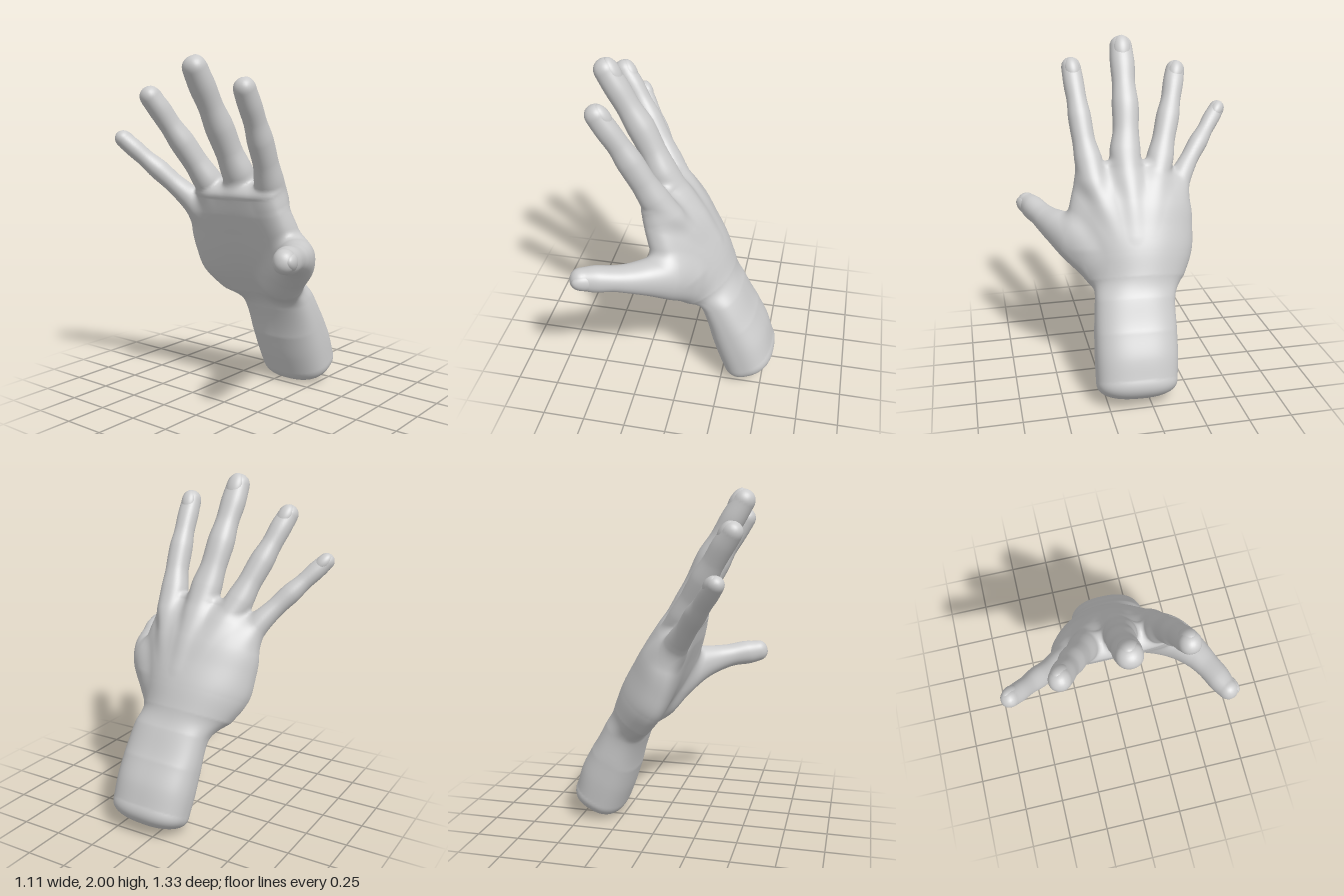
import * as THREE from 'three';

const material = new THREE.MeshStandardMaterial({ color: 0xcccccc });
const BACK = new THREE.Vector3(0.907, 0.42, 0); // direction the back of the hand faces
const BLEND = 0.05; // how softly parts flow into each other
const FAR = 0.15;

// Sections are [x, y, z, halfWidth, halfThickness, arch]
const palm = [
  [0.4, 0.13, 0.075, 0.238, 0.165, 0],
  [0.36, 0.24, 0.068, 0.243, 0.168, 0],
  [0.3, 0.38, 0.06, 0.243, 0.155, 0],
  [0.225, 0.56, 0.045, 0.238, 0.13, 0.2],
  [0.165, 0.67, 0.01, 0.285, 0.135, 0.9],
  [0.1, 0.79, 0.0, 0.34, 0.15, 0.8],
  [0.03, 0.92, 0.003, 0.365, 0.15, 0.6],
  [-0.035, 1.05, 0, 0.362, 0.138, 0.45],
  [-0.1, 1.16, 0.005, 0.33, 0.115, 0.35],
  [-0.15, 1.24, 0.03, 0.27, 0.085, 0.25],
];

// Each finger starts as a tendon under the back of the hand and ends at the centre of its tip
const fingers = {
  indexFinger: [
    [0.105, 0.91, 0.13, 0.028, 0.034],
    [0.01, 1.08, 0.2, 0.045, 0.055],
    [-0.09, 1.2, 0.234, 0.084, 0.092],
    [-0.152, 1.315, 0.25, 0.082, 0.084],
    [-0.21, 1.43, 0.268, 0.068, 0.073],
    [-0.267, 1.54, 0.278, 0.069, 0.074],
    [-0.328, 1.65, 0.287, 0.06, 0.063],
    [-0.377, 1.73, 0.294, 0.062, 0.064],
    [-0.43, 1.815, 0.3, 0.059, 0.06],
  ],
  middleFinger: [
    [0.135, 0.92, 0.03, 0.028, 0.034],
    [0.03, 1.1, 0.03, 0.045, 0.055],
    [-0.085, 1.225, 0.03, 0.088, 0.092],
    [-0.152, 1.35, 0.027, 0.093, 0.086],
    [-0.213, 1.48, 0.01, 0.078, 0.075],
    [-0.273, 1.6, 0.0, 0.081, 0.079],
    [-0.348, 1.73, -0.005, 0.07, 0.068],
    [-0.405, 1.83, -0.01, 0.075, 0.07],
    [-0.462, 1.925, -0.012, 0.069, 0.065],
  ],
  ringFinger: [
    [0.115, 0.91, -0.06, 0.028, 0.034],
    [0.012, 1.07, -0.11, 0.042, 0.052],
    [-0.1, 1.19, -0.15, 0.08, 0.088],
    [-0.165, 1.295, -0.19, 0.082, 0.083],
    [-0.23, 1.41, -0.23, 0.069, 0.072],
    [-0.288, 1.51, -0.265, 0.071, 0.073],
    [-0.356, 1.62, -0.303, 0.06, 0.063],
    [-0.405, 1.7, -0.328, 0.063, 0.064],
    [-0.455, 1.772, -0.352, 0.059, 0.059],
  ],
  littleFinger: [
    [0.08, 0.88, -0.15, 0.028, 0.032],
    [-0.025, 1.01, -0.23, 0.042, 0.048],
    [-0.12, 1.11, -0.285, 0.07, 0.075],
    [-0.178, 1.195, -0.337, 0.064, 0.068],
    [-0.24, 1.28, -0.405, 0.055, 0.059],
    [-0.285, 1.345, -0.46, 0.058, 0.061],
    [-0.34, 1.42, -0.525, 0.049, 0.052],
    [-0.38, 1.475, -0.572, 0.052, 0.053],
    [-0.418, 1.528, -0.618, 0.048, 0.049],
  ],
};

// Thumb with the fleshy mound at its root
const thumb = [
  [0.13, 0.68, 0.13, 0.11, 0.09],
  [0.04, 0.765, 0.22, 0.155, 0.14],
  [-0.045, 0.85, 0.335, 0.145, 0.13],
  [-0.15, 0.9, 0.432, 0.108, 0.103],
  [-0.25, 0.923, 0.495, 0.081, 0.083],
  [-0.33, 0.938, 0.532, 0.071, 0.074],
  [-0.41, 0.95, 0.565, 0.075, 0.073],
  [-0.485, 0.96, 0.595, 0.066, 0.06],
];

// Skin fold between thumb and index finger
const web = [
  [0.02, 0.82, 0.25, 0.12, 0.1], [-0.035, 0.93, 0.285, 0.115, 0.09],
  [-0.08, 1.03, 0.282, 0.095, 0.08], [-0.125, 1.17, 0.262, 0.07, 0.07],
];

// Spline a row of sections into a table along the limb: [l, centre w, centre v, sizes, arch]
function limb(rows, facing, caps = [0.05, rows.at(-1)[4] * 1.1], power = 2.15) {
  const centres = rows.map(r => new THREE.Vector3(r[0], r[1], r[2]));
  const path = new THREE.CatmullRomCurve3(centres);
  const size = new THREE.CatmullRomCurve3(rows.map(r => new THREE.Vector3(r[3], r[4], r[5] || 0)));
  const origin = centres[0], end = centres.at(-1);
  const along = end.clone().sub(centres[2]).normalize();
  const side = facing.clone().cross(along).normalize();
  const up = along.clone().cross(side);
  const table = [], box = new THREE.Box3();
  for (let i = 0; i <= 160; i++) {
    const c = path.getPoint(i / 160), s = size.getPoint(i / 160);
    const reach = Math.max(s.x, s.y) * 1.2 + FAR;
    box.expandByPoint(c.clone().addScalar(reach)).expandByPoint(c.clone().addScalar(-reach));
    c.sub(origin);
    table.push([c.dot(along), c.dot(side), c.dot(up), s.x, s.y, s.z]);
  }
  return { origin, end, along, side, up, table, box, caps, power, tip: rows.at(-1) };
}

// Approximate distance from a point to the skin of one limb
function limbDistance({ origin, along, side, up, table, caps, power }, x, y, z) {
  const dx = x - origin.x, dy = y - origin.y, dz = z - origin.z;
  const l = dx * along.x + dy * along.y + dz * along.z;
  const on = Math.min(Math.max(l, 0), table.at(-1)[0]);
  let lo = 0, hi = table.length - 1;
  while (hi - lo > 1) {
    const mid = (lo + hi) >> 1;
    if (table[mid][0] <= on) lo = mid; else hi = mid;
  }
  const a = table[lo], b = table[hi], t = (on - a[0]) / (b[0] - a[0]);
  const at = c => a[c] + (b[c] - a[c]) * t;
  const rw = at(3), rt = at(4);
  const w = Math.abs(dx * side.x + dy * side.y + dz * side.z - at(1));
  const v = Math.abs(dx * up.x + dy * up.y + dz * up.z - at(2) + at(5) * Math.min(w, rw) ** 2);
  const e = Math.abs(l - on), cap = caps[l < 0 ? 0 : 1];
  const k = ((w / rw) ** power + (v / rt) ** power + (e / cap) ** power) ** (1 / power) + 1e-6;
  return Math.sqrt(w * w + v * v + e * e) * (1 - 1 / k);
}

// All limbs joined with soft fillets
function handDistance(limbs, x, y, z) {
  let d = FAR;
  for (const part of limbs) {
    const { min, max } = part.box;
    if (x < min.x || x > max.x || y < min.y || y > max.y || z < min.z || z > max.z) continue;
    const m = limbDistance(part, x, y, z);
    const h = Math.max(BLEND - Math.abs(d - m), 0);
    d = Math.min(d, m) - h * h / (4 * BLEND);
  }
  return d;
}

// Wrap one continuous quad skin around the zero level of a distance function
function skinGeometry(distance, min, max, cell) {
  const dims = [0, 1, 2].map(i => Math.ceil((max[i] - min[i]) / cell) + 1);
  const stride = [1, dims[0], dims[0] * dims[1]];
  const values = new Float32Array(stride[2] * dims[2]);
  const vertexAt = new Int32Array(values.length).fill(-1);
  const positions = [], normals = [], index = [];
  const at = (x, y, z) => x + y * stride[1] + z * stride[2];
  const eachCell = (from, visit) => {
    for (let z = from; z < dims[2] - from; z++)
      for (let y = from; y < dims[1] - from; y++)
        for (let x = from; x < dims[0] - from; x++) visit(x, y, z, at(x, y, z));
  };
  eachCell(0, (x, y, z, i) => {
    values[i] = distance(min[0] + x * cell, min[1] + y * cell, min[2] + z * cell);
  });
  // one vertex per crossed cell, at the mean of its edge crossings
  eachCell(1, (x, y, z, i) => {
    const sum = new THREE.Vector3();
    let count = 0;
    for (let corner = 0; corner < 8; corner++) {
      const o = [corner & 1, corner >> 1 & 1, corner >> 2], p = values[i + at(...o)];
      for (let d = 0; d < 3; d++) {
        const q = values[i + at(...o) + stride[d]];
        if (o[d] || p < 0 === q < 0) continue;
        const cross = new THREE.Vector3(...o);
        sum.add(cross.setComponent(d, p / (p - q)));
        count++;
      }
    }
    if (!count) return;
    vertexAt[i] = positions.length / 3;
    const p = sum.divideScalar(count).add(new THREE.Vector3(x, y, z)).multiplyScalar(cell)
      .add(new THREE.Vector3(...min));
    const e = 0.006;
    const normal = new THREE.Vector3(
      distance(p.x + e, p.y, p.z) - distance(p.x - e, p.y, p.z),
      distance(p.x, p.y + e, p.z) - distance(p.x, p.y - e, p.z),
      distance(p.x, p.y, p.z + e) - distance(p.x, p.y, p.z - e)).normalize();
    positions.push(p.x, p.y, p.z);
    normals.push(normal.x, normal.y, normal.z);
  });
  // one quad per crossed edge
  eachCell(2, (x, y, z, i) => {
    for (let d = 0; d < 3; d++) {
      const inside = values[i] < 0;
      if (inside === values[i + stride[d]] < 0) continue;
      const u = stride[(d + 1) % 3], v = stride[(d + 2) % 3];
      const q = [i - u - v, i - v, i, i - u].map(c => vertexAt[c]);
      if (!inside) q.reverse();
      index.push(q[0], q[1], q[2], q[0], q[2], q[3]);
    }
  });
  const geometry = new THREE.BufferGeometry().setIndex(index);
  geometry.setAttribute('position', new THREE.Float32BufferAttribute(positions, 3));
  return geometry.setAttribute('normal', new THREE.Float32BufferAttribute(normals, 3));
}

// Nail set into the back of a fingertip
function makeNail(name, { end, along, side, up, tip: [, , , rw, rt] }) {
  const nail = new THREE.Mesh(new THREE.SphereGeometry(1, 32, 20), material);
  nail.name = name + 'Nail';
  nail.quaternion.setFromRotationMatrix(new THREE.Matrix4().makeBasis(side, up, along));
  nail.scale.set(rw * 0.78, rt * 0.66, rw * 1.25);
  nail.position.copy(end).addScaledVector(up, rt * 0.5).addScaledVector(along, -rw * 0.3);
  return nail;
}

export function createModel() {
  const hand = new THREE.Group();
  hand.name = 'hand';
  const digits = { thumb: limb(thumb, new THREE.Vector3(0.3, 0, 0.95)) };
  for (const [name, rows] of Object.entries(fingers)) digits[name] = limb(rows, BACK);
  const limbs = [limb(palm, BACK, [0.11, 0.05], 2.5), limb(web, BACK), ...Object.values(digits)];
  const skin = new THREE.Mesh(skinGeometry((x, y, z) => handDistance(limbs, x, y, z),
    [-0.65, -0.08, -0.76], [0.65, 2.08, 0.76], 0.0125), material);
  skin.name = 'handAndForearmSkin';
  hand.add(skin);
  for (const [name, digit] of Object.entries(digits)) hand.add(makeNail(name, digit));
  return hand;
}
